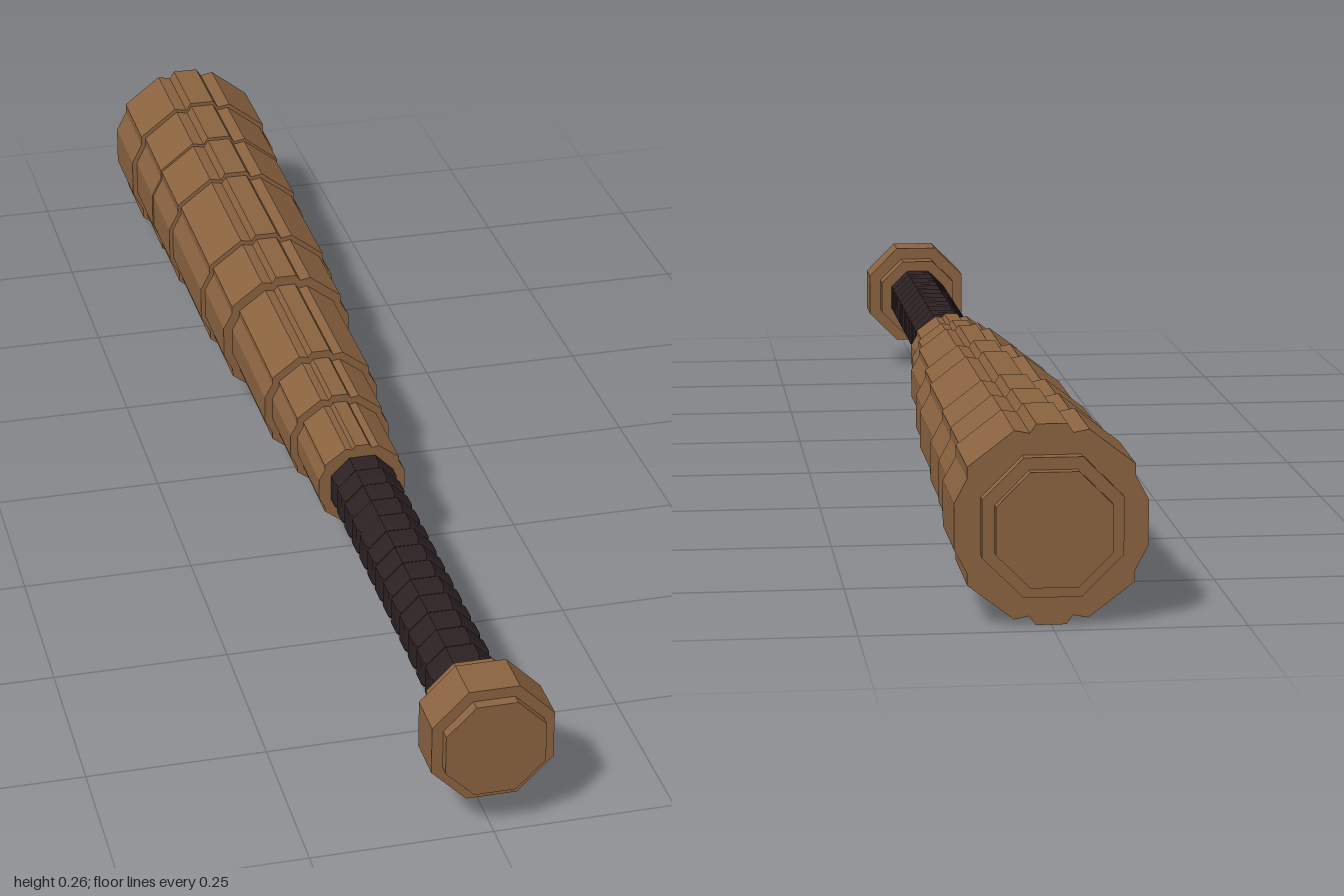
import * as THREE from 'three';

const AXIS_Y = 0.131;

export function createModel() {
  const bat = new THREE.Group();
  bat.name = 'bat';
  const wood = new THREE.MeshStandardMaterial({ color: 0x8b6340, flatShading: true });
  wood.name = 'brown wood';
  const grip = new THREE.MeshStandardMaterial({ color: 0x2b2022, flatShading: true });
  grip.name = 'dark grip wrap';

  const add = (name, geometry, material) => {
    const mesh = new THREE.Mesh(geometry, material);
    mesh.name = name;
    mesh.position.y = AXIS_Y;
    bat.add(mesh);
  };

  // Octagonal turned part along z from [half width, z] pairs, flat side up
  const octagon = (name, profile, material) => {
    const pts = profile.map(([r, z]) => new THREE.Vector2(r / Math.cos(Math.PI / 8), z));
    const geo = new THREE.LatheGeometry(pts, 8, Math.PI / 8);
    geo.rotateX(Math.PI / 2);
    add(name, geo, material);
  };

  // Plank outline of the barrel: one quarter, mirrored into a full ring
  const quarter = [[0.125, 0.03], [0.108, 0.062], [0.108, 0.077], [0.048, 0.123], [0.028, 0.119], [0.02, 0.131]];
  const back = [...quarter].reverse();
  const ring = [
    ...quarter,
    ...back.map(([x, y]) => [-x, y]),
    ...quarter.map(([x, y]) => [-x, -y]),
    ...back.map(([x, y]) => [x, -y]),
  ];

  // Barrel steps: front z, back z, half width, half height
  const steps = [
    [0.295, 0.16, 0.065, 0.066],
    [0.16, 0.04, 0.076, 0.078],
    [0.04, -0.19, 0.088, 0.09],
    [-0.19, -0.33, 0.102, 0.105],
    [-0.33, -0.555, 0.109, 0.113],
    [-0.555, -0.69, 0.115, 0.12],
    [-0.69, -0.825, 0.117, 0.125],
    [-0.825, -0.968, 0.125, 0.131],
  ];
  steps.forEach(([front, rear, w, h], i) => {
    const shape = new THREE.Shape(ring.map(([x, y]) => new THREE.Vector2(x * w / 0.125, y * h / 0.131)));
    const geo = new THREE.ExtrudeGeometry(shape, { depth: front - rear, bevelEnabled: false });
    geo.translate(0, 0, rear);
    add(`barrelStep${i + 1}`, geo, wood);
  });

  // Stepped cap on the barrel end
  octagon('barrelCap', [[0, -1], [0.075, -1], [0.075, -0.985], [0.091, -0.985], [0.091, -0.96], [0, -0.96]], wood);

  // Wrapped handle: a row of slightly raised bands
  const wraps = 14, start = 0.28, pitch = (0.9 - start) / wraps;
  const handle = [];
  for (let i = 0; i < wraps; i++) {
    const z = start + i * pitch;
    handle.push([0.042, z], [0.047, z + pitch * 0.2], [0.047, z + pitch * 0.8]);
  }
  handle.push([0.042, 0.9]);
  octagon('handleGrip', handle, grip);

  // Knob with collar and end plate
  octagon('knob', [
    [0, 0.885], [0.064, 0.885], [0.064, 0.92], [0.083, 0.92],
    [0.083, 0.985], [0.068, 0.985], [0.068, 1], [0, 1],
  ], wood);

  return bat;
}
